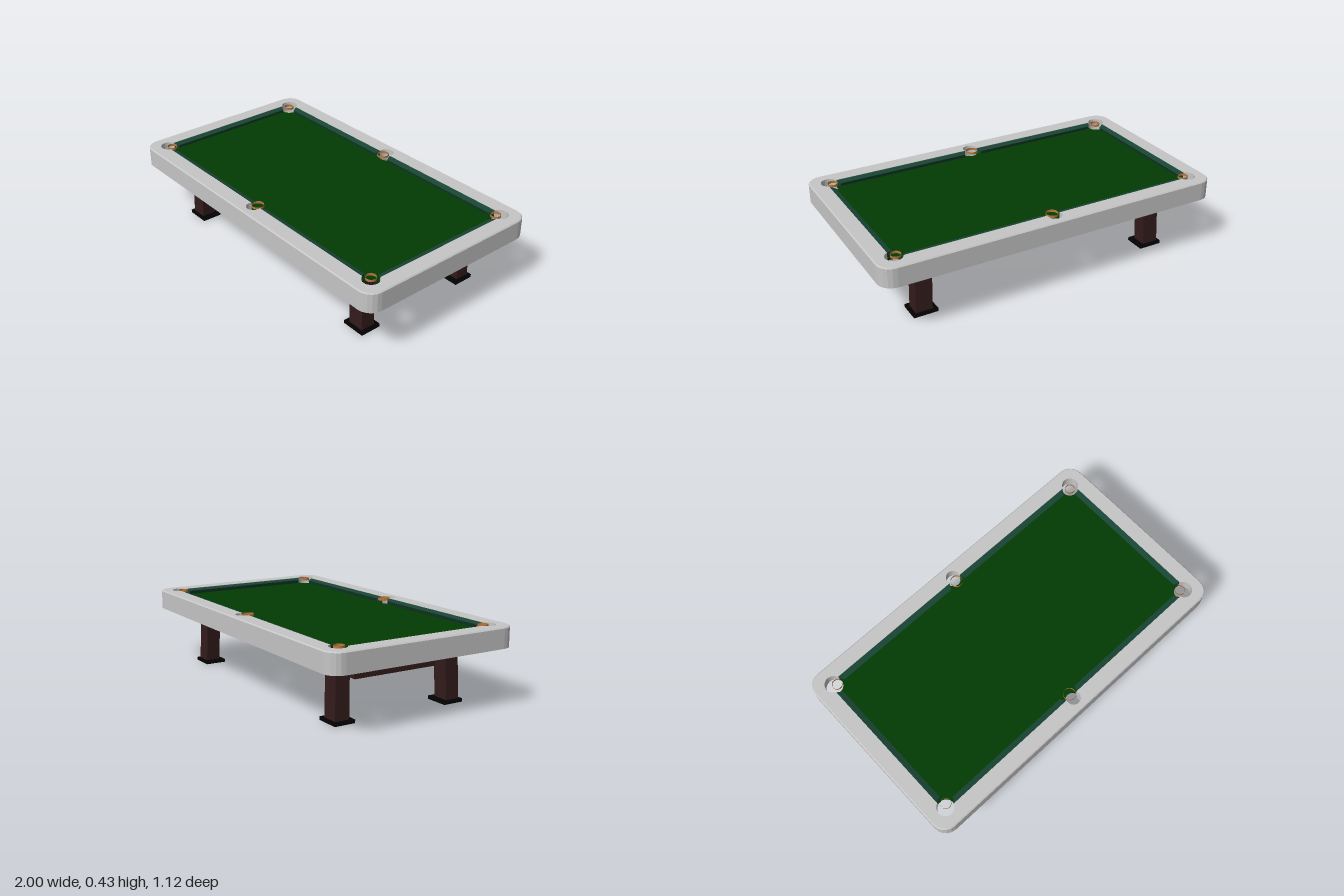
import * as THREE from 'three';

const mat = (name, color, side = THREE.FrontSide) => {
  const m = new THREE.MeshStandardMaterial({ color, side });
  m.name = name;
  return m;
};

// points on an arc in the plan, angles in radians
function arc(cx, cz, r, a0, a1, n) {
  const pts = [];
  for (let i = 0; i <= n; i++) {
    const a = a0 + (a1 - a0) * i / n;
    pts.push(new THREE.Vector2(cx + r * Math.cos(a), cz + r * Math.sin(a)));
  }
  return pts;
}

// rounded rectangle outline
function roundedOutline(hx, hz, r) {
  const q = Math.PI / 2;
  return [[1, 1], [-1, 1], [-1, -1], [1, -1]].flatMap(([sx, sz], i) =>
    arc(sx * (hx - r), sz * (hz - r), r, i * q, (i + 1) * q, 5));
}

const HX = 0.91, HZ = 0.47; // opening half sizes
const CORNER = { x: 0.893, z: 0.455, r: 0.047 };
const SIDE = { z: 0.484, r: 0.04 };

// opening outline; pockets bulge out (rail) or bite in (cloth)
function pocketOutline(bulge) {
  const turn = bulge ? 0 : -2 * Math.PI, pi = Math.PI;
  const { x, z, r } = CORNER;
  const a0 = -Math.acos((HX - x) / r), a1 = pi - Math.asin((HZ - z) / r);
  const s = Math.asin((HZ - SIDE.z) / SIDE.r);
  const c = (sx, sz, from, to) => arc(sx * x, sz * z, r, from, to + turn, 16);
  const m = (sz, from, to) => arc(0, sz * SIDE.z, SIDE.r, from, to + turn, 16);
  return [
    ...c(1, 1, a0, a1), ...m(1, s, pi - s),
    ...c(-1, 1, pi - a1, pi - a0), ...c(-1, -1, pi + a0, pi + a1),
    ...m(-1, pi + s, 2 * pi - s), ...c(1, -1, -a1, -a0),
  ];
}

// wall through outlines at given heights: rising faces outwards, falling faces inwards
function wall(levels) {
  const pos = [];
  const put = (l, i) => pos.push(l.pts[i].x, l.y, l.pts[i].y);
  for (let k = 0; k + 1 < levels.length; k++) {
    const a = levels[k], b = levels[k + 1], n = a.pts.length;
    for (let i = 0; i < n; i++) {
      const j = (i + 1) % n;
      put(a, i); put(b, i); put(a, j);
      put(a, j); put(b, i); put(b, j);
    }
  }
  const g = new THREE.BufferGeometry();
  g.setAttribute('position', new THREE.Float32BufferAttribute(pos, 3));
  g.computeVertexNormals();
  return g;
}

// flat plan shape extruded upwards
const slab = (shape, depth) =>
  new THREE.ExtrudeGeometry(shape, { depth, bevelEnabled: false }).rotateX(-Math.PI / 2);

// cushion along x with its nose towards -z and its ends cut back at the nose
function cushionGeometry(length) {
  const profile = new THREE.Shape([[0, 0.43], [0, 0.395], [0.022, 0.4], [0.032, 0.421]]
    .map(p => new THREE.Vector2(...p)));
  const g = new THREE.ExtrudeGeometry(profile, { depth: length, bevelEnabled: false });
  g.translate(0, 0, -length / 2);
  const p = g.attributes.position;
  for (let i = 0; i < p.count; i++) {
    p.setZ(i, p.getZ(i) - Math.sign(p.getZ(i)) * p.getX(i) * 0.5);
  }
  g.rotateY(Math.PI / 2);
  g.computeVertexNormals();
  return g;
}

// crescent block that fills the inside of a rounded corner
function cornerBlock(sx, sz) {
  const pts = [
    ...arc(0.918, 0.478, 0.078, 0, Math.PI / 2, 5),
    ...new THREE.QuadraticBezierCurve(new THREE.Vector2(0.88, 0.556),
      new THREE.Vector2(0.968, 0.528), new THREE.Vector2(0.996, 0.44)).getPoints(6),
  ].map(p => new THREE.Vector2(p.x * sx, p.y * -sz));
  return slab(new THREE.Shape(pts), 0.1);
}

export function createModel() {
  const root = new THREE.Group();
  root.name = 'poolTable';
  const grey = mat('railGrey', 0xc6c6c6, THREE.DoubleSide);
  const felt = mat('feltGreen', 0x023a02);
  const cushion = mat('cushionGreen', 0x184433);
  const wood = mat('darkWood', 0x331b1b);
  const black = mat('footBlack', 0x020203);
  const tan = mat('tanTrim', 0xb87a3c, THREE.DoubleSide);

  const add = (name, geo, m, x = 0, y = 0, z = 0, parent = root) => {
    const mesh = new THREE.Mesh(geo, m);
    mesh.name = name;
    mesh.position.set(x, y, z);
    parent.add(mesh);
    return mesh;
  };
  const box = (w, h, d) => new THREE.BoxGeometry(w, h, d);

  // rail: outer skirt with a small chamfer, top face and pocket lining
  const outer = roundedOutline(1, 0.56, 0.08);
  const inset = roundedOutline(0.994, 0.554, 0.074);
  const opening = pocketOutline(true);
  add('railSkirt', wall([{ pts: outer, y: 0.32 }, { pts: outer, y: 0.426 }, { pts: inset, y: 0.432 }]), grey);
  const top = new THREE.Shape(inset);
  top.holes.push(new THREE.Path(opening));
  add('railTop', new THREE.ShapeGeometry(top).rotateX(-Math.PI / 2), grey, 0, 0.432, 0);
  add('pocketLining', wall([{ pts: opening, y: 0.432 }, { pts: opening, y: 0.37 }]), grey);

  // playing surface, a hair smaller than the opening
  const cloth = slab(new THREE.Shape(pocketOutline(false)), 0.015).scale(0.998, 1, 0.998);
  add('playingSurface', cloth, felt, 0, 0.385, 0);

  // cushions
  const longCushion = cushionGeometry(0.805), shortCushion = cushionGeometry(0.815);
  for (const s of [1, -1]) {
    for (const x of [0.442, -0.442]) {
      add('longCushion', longCushion, cushion, x, 0, s * HZ).rotation.y = s > 0 ? 0 : Math.PI;
    }
    add('endCushion', shortCushion, cushion, s * HX, 0, 0).rotation.y = s * Math.PI / 2;
  }

  // pocket collars, side pocket brackets and corner blocks
  const collar = (r, x, z) => add('pocketCollar',
    new THREE.CylinderGeometry(r, r, 0.014, 24, 1, true), tan, x, 0.426, z);
  for (const sz of [1, -1]) {
    collar(0.034, 0, sz * 0.455);
    for (const sx of [1, -1]) {
      collar(0.028, sx * 0.878, sz * 0.441);
      add('pocketBracket', box(0.008, 0.1, 0.075), grey, sx * 0.046, 0.376, sz * 0.518);
      add('cornerBlock', cornerBlock(sx, sz), grey, 0, 0.322, 0);
    }
  }

  // splayed legs with top pads and feet
  for (const sx of [1, -1]) {
    for (const sz of [1, -1]) {
      const leg = new THREE.Group();
      leg.name = 'leg';
      root.add(leg);
      const post = box(0.095, 0.315, 0.083);
      const p = post.attributes.position;
      for (let i = 0; i < p.count; i++) {
        const t = p.getY(i) > 0 ? 1 : 0;
        p.setX(i, p.getX(i) + sx * (0.721 - 0.012 * t));
        p.setZ(i, p.getZ(i) + sz * (0.348 - 0.01 * t));
      }
      post.computeVertexNormals();
      add('legPost', post, wood, 0, 0.172, 0, leg);
      add('legFoot', box(0.138, 0.018, 0.12), black, sx * 0.716, 0.009, sz * 0.342, leg);
      add('legPad', box(0.14, 0.03, 0.122), tan, sx * 0.709, 0.337, sz * 0.338, leg);
    }
    // cross bar between the legs of one end
    add('endStretcher', box(0.045, 0.032, 0.506), wood, sx * 0.712, 0.222, 0);
  }
  add('longStretcher', box(1.226, 0.042, 0.036), wood, 0, 0.196, 0);

  return root;
}
